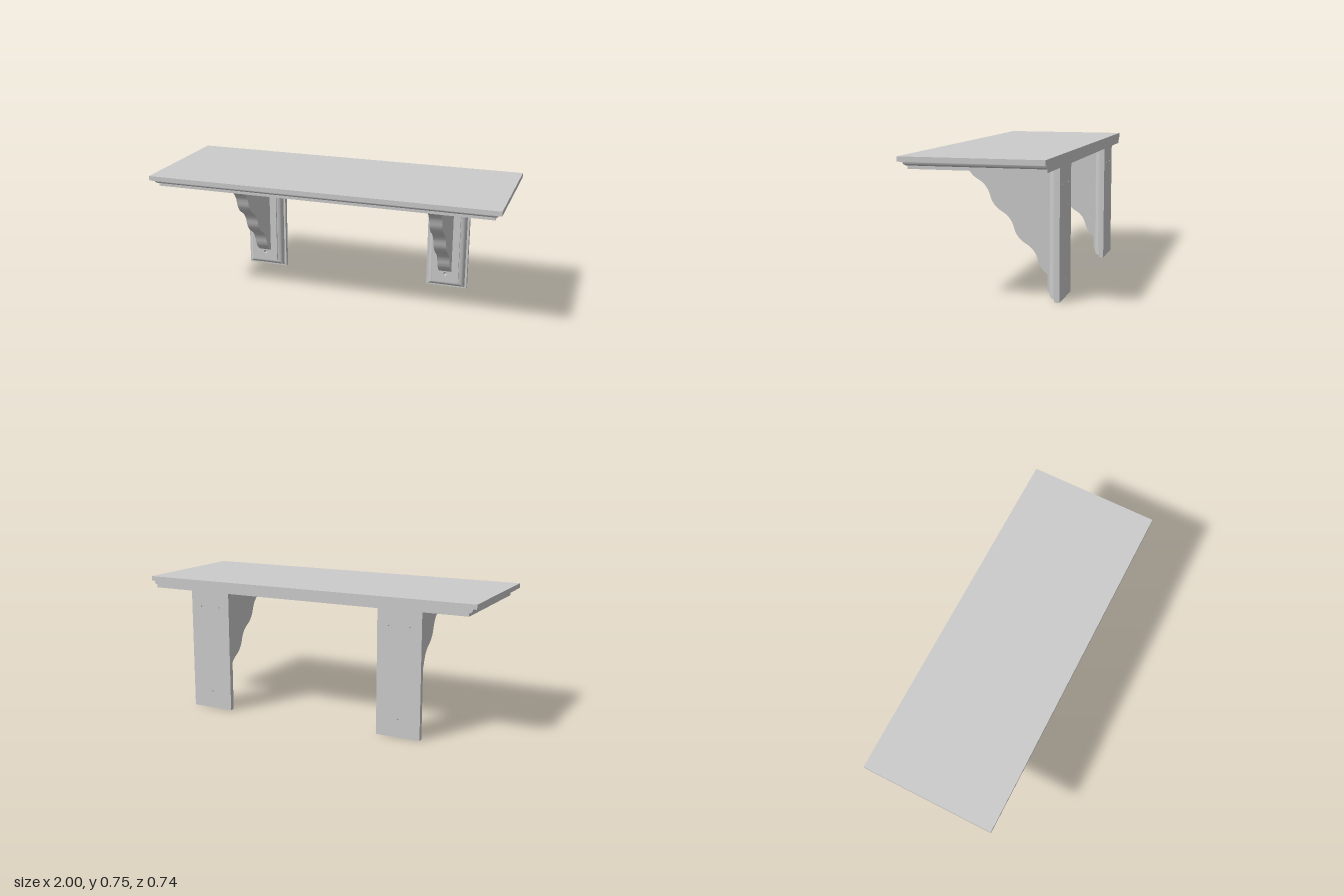
import * as THREE from 'three';
import { mergeGeometries, toCreasedNormals } from 'three/addons/utils/BufferGeometryUtils.js';

const material = new THREE.MeshStandardMaterial({ color: 0xcccccc });
const holeMaterial = new THREE.MeshStandardMaterial({ color: 0xcccccc, side: THREE.DoubleSide });
const HOLE_R = 0.005, SINK_R = 0.011;

function mesh(name, geometry, mat = material) {
  const m = new THREE.Mesh(geometry, mat);
  m.name = name;
  return m;
}

// Convex quarter-round between two [inset, height] corners
function quarterRound(i0, h0, i1, h1, n = 12) {
  return Array.from({ length: n + 1 }, (_, k) => {
    const a = (k / n) * Math.PI / 2;
    return [i1 - (i1 - i0) * Math.cos(a), h0 + (h1 - h0) * Math.sin(a)];
  });
}

// Board moulded on three edges, its fourth edge (y = 0) flush; profile = [inset, height] pairs along +z
function mouldedBoard(width, depth, profile, holes = []) {
  const ring = ([i, h]) => {
    const w = width / 2 - i, d = depth - i;
    return [[-w, 0, h], [w, 0, h], [w, d, h], [-w, d, h]];
  };
  const pos = [];
  for (let k = 0; k < profile.length - 1; k++) {
    const lo = ring(profile[k]), hi = ring(profile[k + 1]);
    for (let j = 0; j < 4; j++) {
      const n = (j + 1) % 4;
      for (const p of [lo[j], lo[n], hi[n], lo[j], hi[n], hi[j]]) pos.push(...p);
    }
  }
  const sides = new THREE.BufferGeometry();
  sides.setAttribute('position', new THREE.Float32BufferAttribute(pos, 3));
  sides.computeVertexNormals();

  // End faces, pierced by the screw holes
  const cap = (entry, radius, flip) => {
    const shape = new THREE.Shape(ring(entry).map(([x, y]) => new THREE.Vector2(flip ? -x : x, y)));
    for (const [x, y] of holes) {
      shape.holes.push(new THREE.Path().absarc(flip ? -x : x, y, radius, 0, Math.PI * 2, true));
    }
    const g = new THREE.ShapeGeometry(shape, 8);
    if (flip) g.rotateY(Math.PI);
    g.translate(0, 0, entry[1]);
    g.deleteAttribute('uv');
    return g.toNonIndexed();
  };
  const all = [sides, cap(profile[0], HOLE_R, true), cap(profile[profile.length - 1], SINK_R, false)];
  return toCreasedNormals(mergeGeometries(all), 0.5);
}

// Scrolled side profile (x = forward, y = up) of alternating convex and concave arcs
function corbelGeometry(width) {
  const shape = new THREE.Shape();
  const dz = -0.064, dy = -0.0815, bulge = 0.022;
  let z = 0.147, y = 0.685;
  shape.moveTo(z, y);
  for (let k = 0; k < 7; k++) {
    const s = k % 2 ? -bulge : bulge;
    shape.quadraticCurveTo(z + dz / 2 + 0.788 * s, y + dy / 2 - 0.615 * s, z + dz, y + dy);
    z += dz;
    y += dy;
  }
  shape.lineTo(-0.302, 0.685);
  const g = new THREE.ExtrudeGeometry(shape, { depth: width, bevelEnabled: false, curveSegments: 12 });
  g.translate(0, 0, -width / 2).rotateY(-Math.PI / 2);
  return toCreasedNormals(g, 0.5);
}

export function createModel() {
  const group = new THREE.Group();
  group.name = 'bracketShelf';

  // Shelf top with rounded moulding under its front and side edges
  const shelf = mesh('shelfTop', mouldedBoard(2, 0.744, [
    [0, 0], [0, 0.026],
    ...quarterRound(0.02, 0.026, 0.04, 0.047),
    [0.04, 0.064],
  ]));
  shelf.rotation.x = Math.PI / 2;
  shelf.position.set(0, 0.748, -0.372);
  group.add(shelf);

  // Wall plate, corbel and countersunk holes shared by both brackets
  const holes = [[-0.06, 0.087], [0.06, 0.087], [0, 0.587]];
  const plateGeometry = mouldedBoard(0.25, 0.684, [
    [0, 0], [0, 0.027], [0.012, 0.027],
    ...quarterRound(0.012, 0.027, 0.045, 0.062),
    [0.045, 0.072],
  ], holes);
  const corbel = corbelGeometry(0.075);
  const holeGeometry = new THREE.LatheGeometry([
    new THREE.Vector2(HOLE_R, 0), new THREE.Vector2(HOLE_R, 0.064), new THREE.Vector2(SINK_R, 0.072),
  ], 16).rotateX(Math.PI / 2);

  for (const [side, x] of [['left', 0.588], ['right', -0.588]]) {
    const bracket = new THREE.Group();
    bracket.name = side + 'Bracket';
    bracket.position.x = x;

    const plate = mesh('wallPlate', plateGeometry);
    plate.rotation.z = Math.PI;
    plate.position.set(0, 0.684, -0.372);
    for (const [hx, hy] of holes) {
      const hole = mesh('screwHole', holeGeometry, holeMaterial);
      hole.position.set(hx, hy, 0);
      plate.add(hole);
    }
    bracket.add(plate, mesh('corbel', corbel));
    group.add(bracket);
  }
  return group;
}
